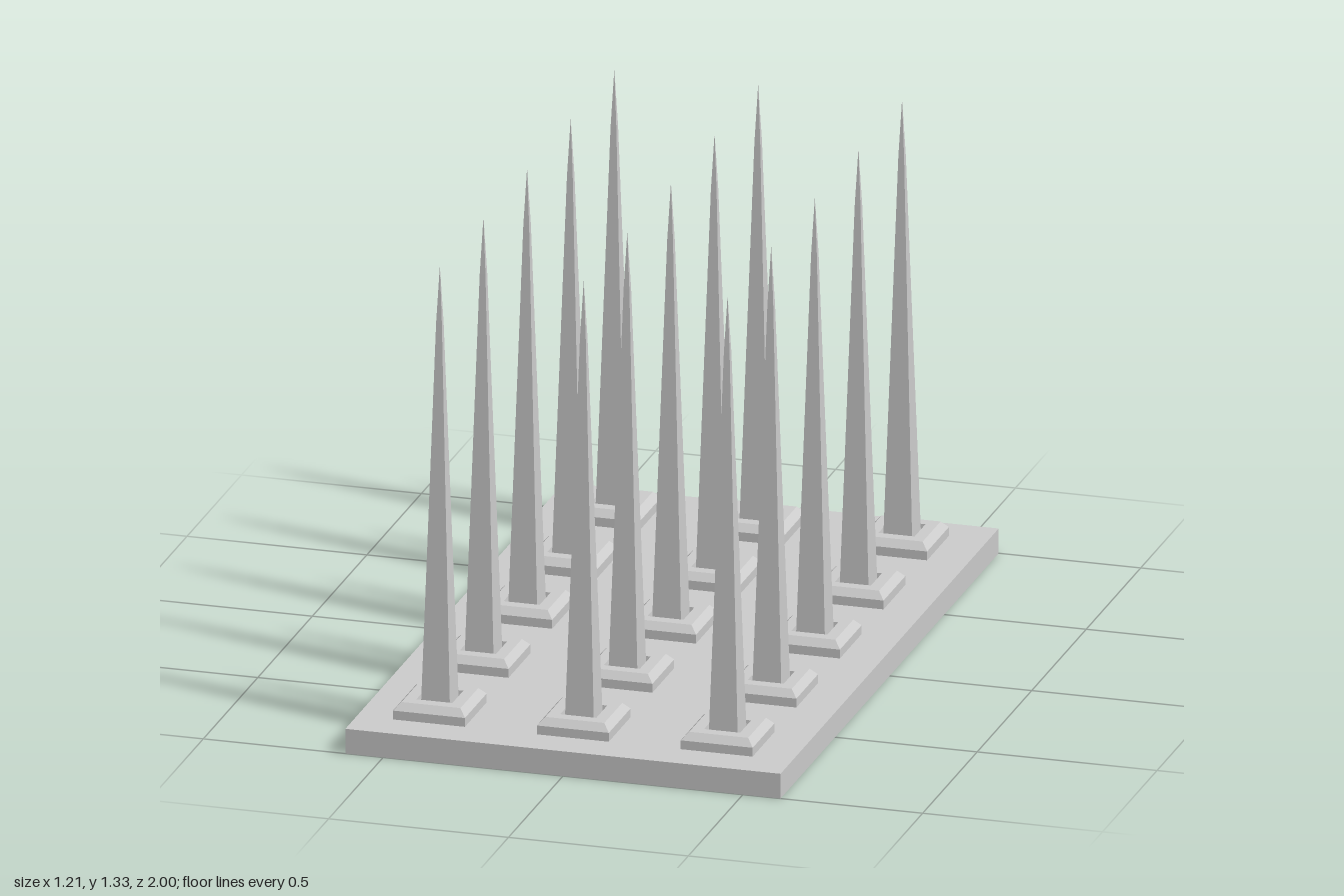
import * as THREE from 'three';

const material = new THREE.MeshStandardMaterial({ color: 0xcccccc, flatShading: true });

// Square-section solid from [half width, height] pairs, bottom to top
function squareTurned(profile) {
  const points = profile.map(([half, y]) => new THREE.Vector2(half * Math.SQRT2, y));
  return new THREE.LatheGeometry(points, 4, Math.PI / 4);
}

export function createModel() {
  const model = new THREE.Group();
  model.name = 'spikeBoard';

  // Base slab
  const plate = new THREE.Mesh(new THREE.BoxGeometry(1.21, 0.07, 2), material);
  plate.name = 'basePlate';
  plate.position.y = 0.035;
  model.add(plate);

  // Bevelled collar with a shallow socket around the spike
  const collarGeometry = squareTurned([
    [0.1, 0.07], [0.1, 0.095], [0.082, 0.115], [0.05, 0.115], [0.048, 0.095], [0.036, 0.095],
  ]);

  // Slender tapering spike with a pointed tip
  const spikeGeometry = squareTurned([[0.041, 0.07], [0.008, 1.17], [0, 1.33]]);

  // Three columns by five rows
  for (let row = 0; row < 5; row++) {
    for (let column = 0; column < 3; column++) {
      const post = new THREE.Group();
      post.name = `spikePost_${row}_${column}`;
      post.position.set(-0.405 + column * 0.4, 0, -0.807 + row * 0.4);

      const collar = new THREE.Mesh(collarGeometry, material);
      collar.name = 'collar';
      const spike = new THREE.Mesh(spikeGeometry, material);
      spike.name = 'spike';

      post.add(collar, spike);
      model.add(post);
    }
  }
  return model;
}
